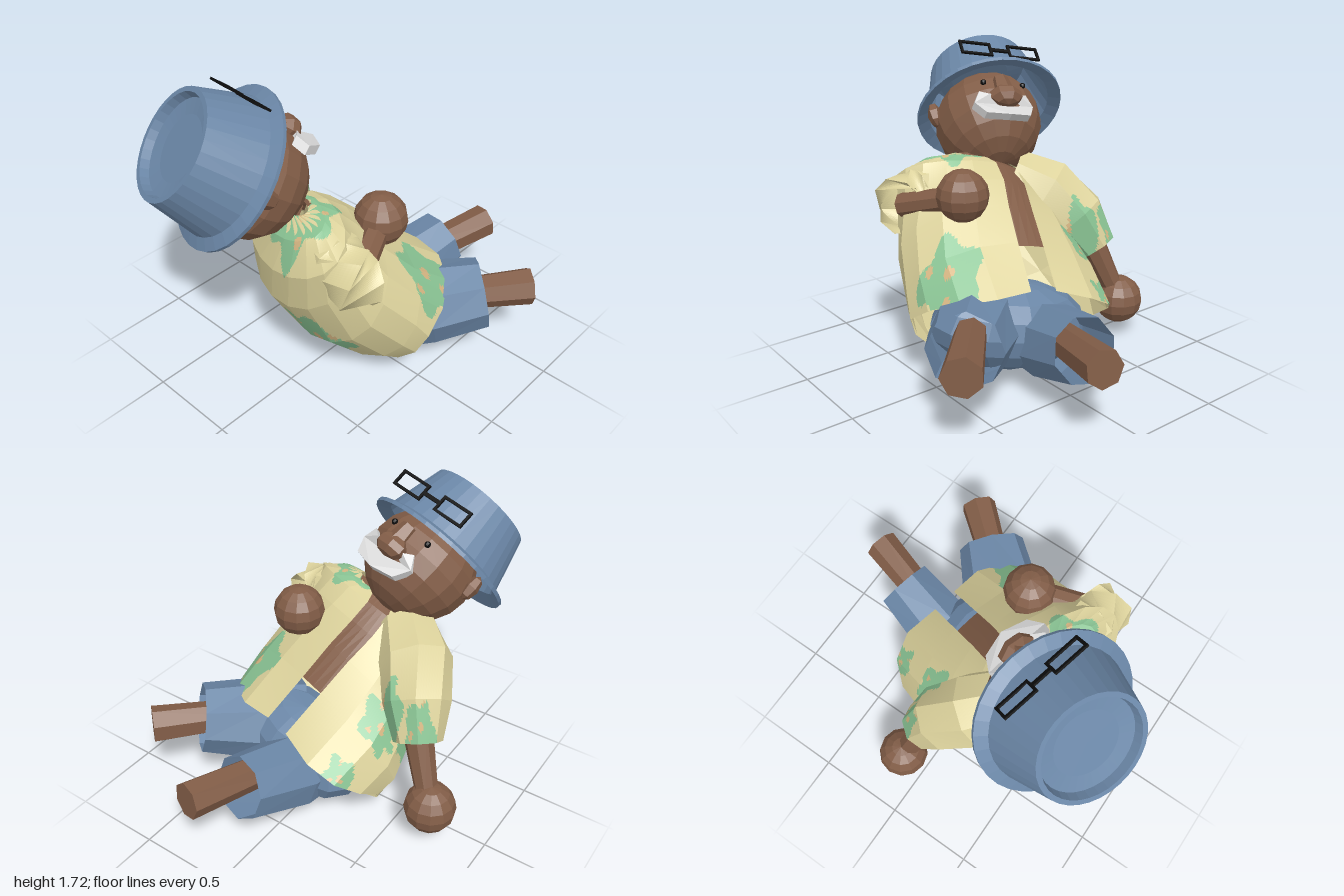
import * as THREE from 'three';

const V = (x, y, z) => new THREE.Vector3(x, y, z);
const mat = (name, color, side = THREE.FrontSide) => {
  const m = new THREE.MeshStandardMaterial({ color, flatShading: true, side });
  m.name = name;
  return m;
};

export function createModel() {
  const root = new THREE.Group();
  root.name = 'recliningMan';
  const skin = mat('brown skin', 0x825d47, THREE.DoubleSide);
  const blue = mat('denim blue', 0x6b87a7, THREE.DoubleSide);
  const cream = mat('shirt cream', 0xdcd29c, THREE.DoubleSide);
  const green = mat('shirt green', 0x8ac494, THREE.DoubleSide);
  const peach = mat('shirt peach', 0xd5b582, THREE.DoubleSide);
  const white = mat('moustache white', 0xdadada);
  const black = mat('black', 0x0c0c0c);

  const add = (parent, name, geo, m) => {
    const mesh = new THREE.Mesh(geo, m);
    mesh.name = name;
    parent.add(mesh);
    return mesh;
  };

  // Splashes on the shirt: centre, radius, and the axis they face along
  const blobs = [
    [0.15, 0.375, 0.4, 0.215, 2], [0.09, 0.99, 0.43, 0.18, 1], [-0.22, 0.04, 0.12, 0.1, 2],
    [0.45, 0.63, -0.08, 0.18, 1], [-0.33, 0.47, -0.41, 0.09, 1], [-0.4, 0.7, -0.13, 0.12, 1],
    [-0.62, 0.66, -0.11, 0.09, 1], [-0.5, 0.43, 0.05, 0.14, 0], [-0.45, 0.8, 0.28, 0.06, 2],
  ];
  const spots = [[0.05, 0, 0.15], [0.6, 0.3, 0.11], [-0.35, 0.4, 0.1]];
  const splash = (p) => {
    for (const [x, y, z, r, axis] of blobs) {
      const d = [p.x - x, p.y - y, p.z - z];
      const w = d.map((v, i) => (i === axis ? v * 0.4 : v));
      const u = w[(axis + 1) % 3], v = w[(axis + 2) % 3];
      if (Math.hypot(...w) > r * (0.88 + 0.15 * Math.sin(5 * Math.atan2(v, u) + x * 9))) continue;
      return spots.some(([a, b, q]) => Math.hypot(u - r * a, v - r * b) < r * q) ? 2 : 1;
    }
    return 0;
  };

  // Faceted skin between rows of points; each coarse facet can be cut finely for paint
  function loft(rows, paint = () => 0, sub = 1) {
    const buckets = [[], [], []];
    const at = (i, j, u, v) => rows[i][j].clone().lerp(rows[i][j + 1], u)
      .lerp(rows[i + 1][j].clone().lerp(rows[i + 1][j + 1], u), v);
    const tri = (a, b, c) => {
      const mid = a.clone().add(b).add(c).divideScalar(3);
      const out = buckets[paint(mid)];
      for (const p of [a, b, c]) out.push(p.x, p.y, p.z);
    };
    for (let i = 0; i < rows.length - 1; i++)
      for (let j = 0; j < rows[0].length - 1; j++)
        for (let k = 0; k < sub * sub; k++) {
          const u = (k % sub) / sub, v = Math.floor(k / sub) / sub, s = 1 / sub;
          const a = at(i, j, u, v), b = at(i, j, u + s, v);
          const c = at(i, j, u + s, v + s), d = at(i, j, u, v + s);
          tri(a, b, c);
          tri(a, c, d);
        }
    const geo = new THREE.BufferGeometry();
    geo.setAttribute('position', new THREE.Float32BufferAttribute(buckets.flat(), 3));
    let start = 0;
    buckets.forEach((b, i) => {
      if (b.length) geo.addGroup(start, b.length / 3, i);
      start += b.length / 3;
    });
    geo.computeVertexNormals();
    return geo;
  }

  // Rows for a bent tube through stations [x, y, z, radius]
  function limb(st, n = 8) {
    const pts = st.map((q) => V(q[0], q[1], q[2]));
    return pts.map((p, i) => {
      const dir = pts[Math.min(i + 1, pts.length - 1)].clone().sub(pts[Math.max(i - 1, 0)]).normalize();
      const q = new THREE.Quaternion().setFromUnitVectors(V(0, 1, 0), dir);
      return Array.from({ length: n + 1 }, (_, j) => {
        const a = (j / n) * Math.PI * 2;
        return V(Math.cos(a), 0, Math.sin(a)).multiplyScalar(st[i][3]).applyQuaternion(q).add(p);
      });
    });
  }

  // Solid rod between two points
  function rod(name, a, b, r0, r1, sides) {
    const m = add(root, name, new THREE.CylinderGeometry(r1, r0, a.distanceTo(b), sides), skin);
    m.position.copy(a).lerp(b, 0.5);
    m.quaternion.setFromUnitVectors(V(0, 1, 0), b.clone().sub(a).normalize());
  }

  // Torso stations from hem to neck: centre, front half-vector (y, z), half width, sideways drift of the opening
  const side = V(0.95, 0.17, 0.24).normalize();
  const stations = [
    [0.08, 0.285, -0.17, 0.285, -0.19, 0.55, 0.01],
    [0.04, 0.415, 0.0, 0.335, -0.17, 0.56, -0.02],
    [0.01, 0.6, 0.2, 0.3, -0.2, 0.51, -0.07],
    [-0.01, 0.81, 0.345, 0.21, -0.215, 0.44, -0.13],
    [0.0, 0.96, 0.415, 0.14, -0.17, 0.4, -0.17],
    [0.0, 1.055, 0.42, 0.06, -0.11, 0.24, -0.15],
    [0.0, 1.1, 0.4, 0.02, -0.04, 0.09, 0],
  ];
  // Rows over the angles start..end, measured from the middle of the front opening
  const torso = (scale, from, start, end) => stations.slice(from).map(([x, y, z, fy, fz, w, drift], i) => {
    const front = V(-(0.17 * fy + 0.24 * fz) / 0.95, fy, fz);
    const middle = Math.acos(drift / w);
    return Array.from({ length: 17 }, (_, j) => {
      const a = middle + THREE.MathUtils.lerp(start(w), end(w), j / 16);
      const p = V(x, y, z).addScaledVector(side, Math.cos(a) * w * scale)
        .addScaledVector(front, Math.sin(a) * scale);
      if (i + from === 0) { // hem lifts at the sides and reaches forward at the flaps
        p.add(V(0, 0.04, 0.09).multiplyScalar(Math.cos(a) ** 2));
        p.add(V(0, -0.02, -0.1).multiplyScalar(Math.max(0, Math.sin(a)) * Math.abs(Math.cos(a)) * 2));
      }
      return p;
    });
  });
  const gap = (w) => Math.asin(0.075 / w);
  const wrap = (w) => Math.PI * 2 - gap(w);
  const shirt = [cream, green, peach];
  add(root, 'openShirt', loft(torso(1, 0, gap, wrap), splash, 13), shirt);
  add(root, 'shirtLining', loft(torso(0.985, 0, gap, wrap)), cream);
  add(root, 'chest', loft(torso(0.93, 1, () => -0.8, () => 0.8)), skin);
  rod('neck', V(-0.1, 0.98, 0.38), V(-0.18, 1.12, 0.46), 0.11, 0.12, 8);

  // Sleeves, forearms and round hands
  add(root, 'rightSleeve', loft(limb([
    [-0.26, 0.94, 0.32, 0.17], [-0.41, 0.86, 0.18, 0.2], [-0.51, 0.72, 0.04, 0.18], [-0.58, 0.55, -0.05, 0.13],
  ]), splash, 10), shirt);
  add(root, 'leftSleeve', loft(limb([
    [0.13, 0.96, 0.39, 0.13], [0.29, 0.93, 0.42, 0.16], [0.41, 0.88, 0.43, 0.17], [0.44, 0.87, 0.35, 0.14],
  ]), splash, 10), shirt);
  rod('rightForearm', V(-0.54, 0.65, -0.01), V(-0.69, 0.27, -0.11), 0.085, 0.06, 8);
  rod('leftForearm', V(0.41, 0.88, 0.42), V(0.28, 0.97, 0.11), 0.07, 0.065, 8);
  for (const [name, p] of [['rightHand', V(-0.715, 0.215, -0.12)], ['leftHand', V(0.26, 0.99, 0.07)]])
    add(root, name, new THREE.SphereGeometry(0.14, 12, 8), skin).position.copy(p);

  // Trousers and bare shins
  const hips = add(root, 'trouserSeat', new THREE.SphereGeometry(1, 12, 8), blue);
  hips.scale.set(0.45, 0.24, 0.27);
  hips.position.set(0.11, 0.3, -0.13);
  hips.rotation.set(0, -0.25, 0.17);
  add(root, 'rightTrouserLeg', loft(limb([
    [-0.02, 0.25, -0.05, 0.2], [0.02, 0.26, -0.36, 0.205], [0.095, 0.36, -0.7, 0.175],
  ])), blue);
  add(root, 'leftTrouserLeg', loft(limb([
    [0.2, 0.31, -0.02, 0.24], [0.4, 0.35, -0.2, 0.23], [0.6, 0.4, -0.41, 0.195],
  ])), blue);
  rod('rightShin', V(0.07, 0.35, -0.45), V(0.215, 0.41, -0.96), 0.085, 0.1, 7);
  rod('leftShin', V(0.45, 0.39, -0.25), V(0.77, 0.41, -0.625), 0.085, 0.105, 7);

  // Head, in its own tilted frame: y towards the crown, z out of the face
  const up = V(-0.29, 0.6, 0.745).normalize();
  const face = V(0.035, 0.779, -0.614);
  face.addScaledVector(up, -face.dot(up)).normalize();
  const across = up.clone().cross(face);
  const head = new THREE.Group();
  head.name = 'head';
  head.quaternion.setFromRotationMatrix(new THREE.Matrix4().makeBasis(across, up, face));
  head.position.set(-0.23, 1.22, 0.5);
  root.add(head);
  add(head, 'skull', new THREE.SphereGeometry(0.31, 16, 10), skin).scale.set(0.98, 0.95, 1);

  for (const s of [-1, 1]) {
    const ear = add(head, 'ear', new THREE.SphereGeometry(0.085, 6, 4), skin);
    ear.scale.set(0.5, 0.9, 0.75);
    ear.position.set(s * 0.305, 0.065, -0.025);
    ear.rotation.y = s * 0.5;
    add(head, 'eye', new THREE.SphereGeometry(0.017, 8, 6), black).position.set(s * 0.12, 0.055, 0.28);
  }

  // Nose: narrow bridge and a wider blunt tip
  add(head, 'noseBridge', new THREE.CylinderGeometry(0.045, 0.065, 0.13, 6), skin).position.set(-0.02, 0.01, 0.295);
  const tip = add(head, 'noseTip', new THREE.SphereGeometry(0.09, 7, 5), skin);
  tip.scale.set(1.1, 0.7, 0.75);
  tip.position.set(-0.02, -0.06, 0.305);

  // Moustache with upturned ends
  const outline = [[-0.175, -0.1], [-0.13, -0.185], [0, -0.21], [0.13, -0.185], [0.175, -0.1],
    [0.14, -0.03], [0.09, -0.06], [-0.09, -0.06], [-0.14, -0.03]];
  const shape = new THREE.Shape(outline.map(([x, y]) => new THREE.Vector2(x, y)));
  const tash = new THREE.ExtrudeGeometry(shape, { depth: 0.05, bevelEnabled: false });
  const pos = tash.attributes.position;
  for (let i = 0; i < pos.count; i++) pos.setZ(i, pos.getZ(i) + 0.275 - pos.getX(i) ** 2 * 1.6);
  add(head, 'moustache', tash, white).position.x = -0.03;

  // Spectacles pushed up on the hat
  const specs = new THREE.Group();
  specs.name = 'spectacles';
  specs.position.set(0, 0.245, 0.35);
  head.add(specs);
  const bar = (x, y, w, h) => add(specs, 'frameBar', new THREE.BoxGeometry(w, h, 0.012), black).position.set(x, y, 0);
  for (const s of [-1, 1]) {
    for (const y of [-0.041, 0.041]) bar(s * 0.145, y, 0.19, 0.014);
    for (const x of [0.057, 0.233]) bar(s * x, 0, 0.014, 0.09);
  }
  bar(0, 0, 0.11, 0.02);

  // Hat with a sunken crown top and a short flared brim
  const profile = [[0, 0.27], [0.17, 0.27], [0.25, 0.28], [0.262, 0.325], [0.288, 0.325],
    [0.365, 0.03], [0.428, 0.005], [0.426, -0.015], [0.355, 0.015]];
  const hat = add(root, 'hat', new THREE.LatheGeometry(profile.map(([r, y]) => new THREE.Vector2(r, y)), 32), blue);
  hat.position.set(-0.295, 1.285, 0.572);
  hat.quaternion.copy(head.quaternion);

  return root;
}
